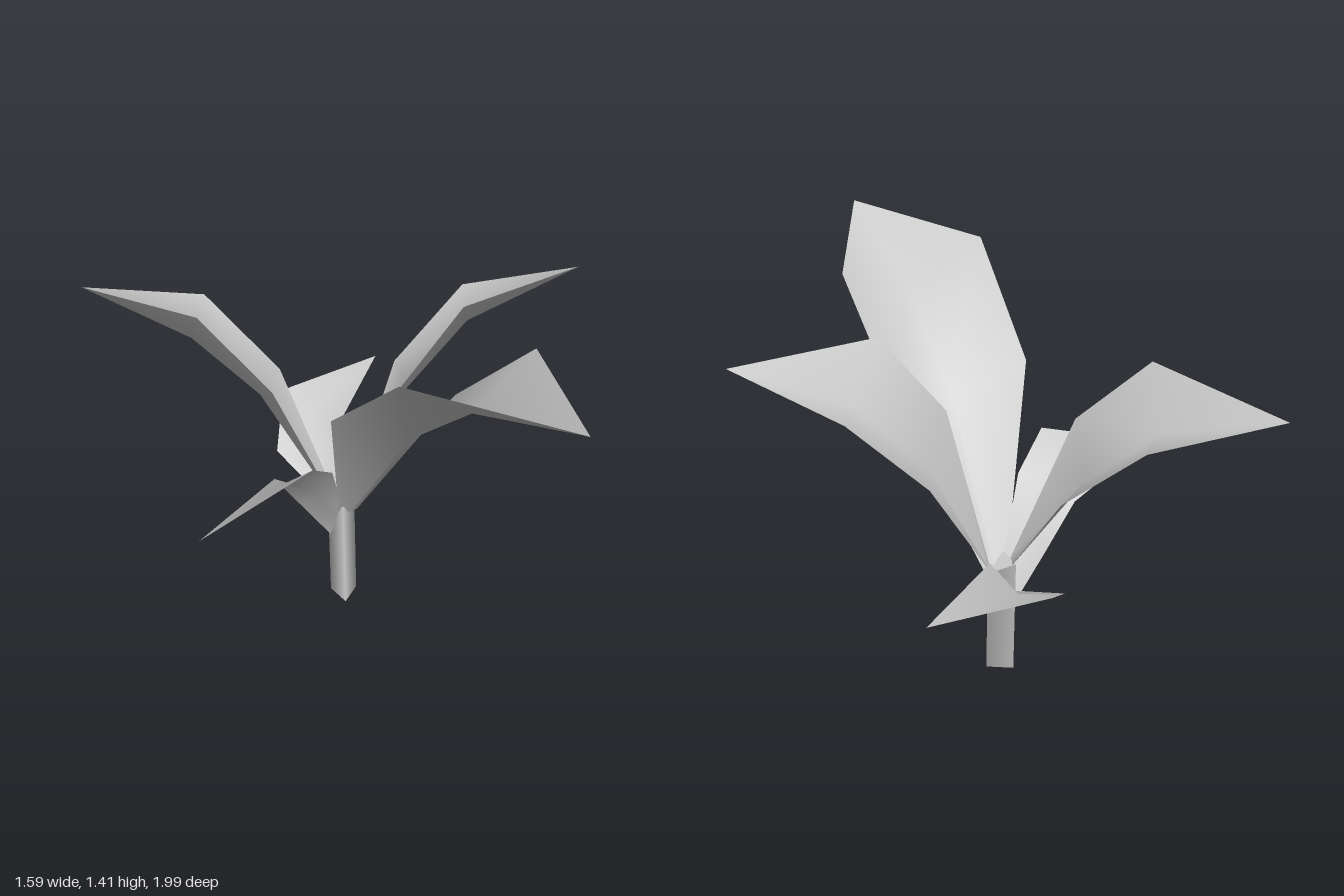
import * as THREE from 'three';

const leafMaterial = new THREE.MeshStandardMaterial({ color: 0xcccccc, side: THREE.DoubleSide });
leafMaterial.name = 'pale grey';

// A leaf is three cross-rows (edge, midrib, edge) closed by a single tip
function leaf(name, rows, tip) {
  const points = [...rows.flat(), tip];
  const index = [];
  for (let r = 0; r < rows.length - 1; r++) {
    for (let c = 0; c < 2; c++) {
      const a = r * 3 + c, b = a + 3;
      index.push(a, a + 1, b, a + 1, b + 1, b);
    }
  }
  const last = (rows.length - 1) * 3, end = points.length - 1;
  index.push(last, last + 1, end, last + 1, last + 2, end);
  const geometry = new THREE.BufferGeometry();
  geometry.setAttribute('position', new THREE.Float32BufferAttribute(points.flat(), 3));
  geometry.setIndex(index);
  geometry.computeVertexNormals();
  const mesh = new THREE.Mesh(geometry, leafMaterial);
  mesh.name = name;
  return mesh;
}

export function createModel() {
  const plant = new THREE.Group();
  plant.name = 'plant';

  // Three-sided stem with a slanted top
  const stemGeometry = new THREE.CylinderGeometry(0.058, 0.058, 0.46, 3, 1, false, Math.PI / 2);
  stemGeometry.translate(-0.091, 0.23, -0.25);
  const p = stemGeometry.attributes.position;
  for (let i = 0; i < p.count; i++) {
    if (p.getY(i) > 0.2) p.setY(i, 0.46 - 0.55 * (p.getX(i) + 0.12));
  }
  const stem = new THREE.Mesh(stemGeometry, leafMaterial);
  stem.name = 'stem';
  plant.add(stem);

  // Tall leaf arching to the front
  plant.add(leaf('frontLeaf', [
    [[-0.12, 0.42, -0.23], [-0.08, 0.41, -0.22], [-0.035, 0.40, -0.23]],
    [[-0.33, 1.07, 0.05], [-0.08, 0.95, 0.155], [0.17, 1.005, 0.095]],
    [[-0.335, 1.405, 0.435], [-0.07, 1.22, 0.47], [0.21, 1.35, 0.45]],
  ], [-0.06, 1.41, 0.99]));

  // Tall leaf to the left
  plant.add(leaf('leftLeaf', [
    [[-0.06, 0.42, -0.21], [-0.045, 0.41, -0.24], [-0.04, 0.42, -0.28]],
    [[0.04, 1.0, -0.06], [0.18, 0.88, -0.2], [0.245, 0.89, -0.365]],
    [[0.26, 1.29, 0.017], [0.4, 1.12, -0.13], [0.51, 1.16, -0.295]],
  ], [0.79, 1.28, 0.025]));

  // Low leaf to the right
  plant.add(leaf('rightLeaf', [
    [[-0.12, 0.28, -0.29], [-0.12, 0.37, -0.25], [-0.12, 0.47, -0.21]],
    [[-0.24, 0.465, -0.29], [-0.24, 0.57, -0.2], [-0.22, 0.715, -0.115]],
    [[-0.36, 0.65, -0.285], [-0.38, 0.71, -0.17], [-0.355, 0.83, -0.035]],
  ], [-0.795, 0.694, -0.085]));

  // Tall leaf to the back right
  plant.add(leaf('backRightLeaf', [
    [[-0.085, 0.44, -0.3], [-0.1, 0.43, -0.28], [-0.125, 0.46, -0.25]],
    [[-0.115, 0.87, -0.605], [-0.27, 0.87, -0.5], [-0.335, 1.0, -0.305]],
    [[-0.28, 1.14, -0.84], [-0.44, 1.09, -0.67], [-0.5, 1.27, -0.505]],
  ], [-0.69, 1.235, -1.0]));

  // Low leaf to the back left
  plant.add(leaf('backLeftLeaf', [
    [[-0.04, 0.45, -0.27], [-0.055, 0.4, -0.285], [-0.08, 0.36, -0.3]],
    [[0.02, 0.5, -0.37], [-0.05, 0.45, -0.47], [-0.15, 0.51, -0.6]],
    [[0.08, 0.63, -0.485], [0.06, 0.6, -0.65], [0.0, 0.645, -0.775]],
  ], [0.44, 0.65, -0.755]));

  return plant;
}
